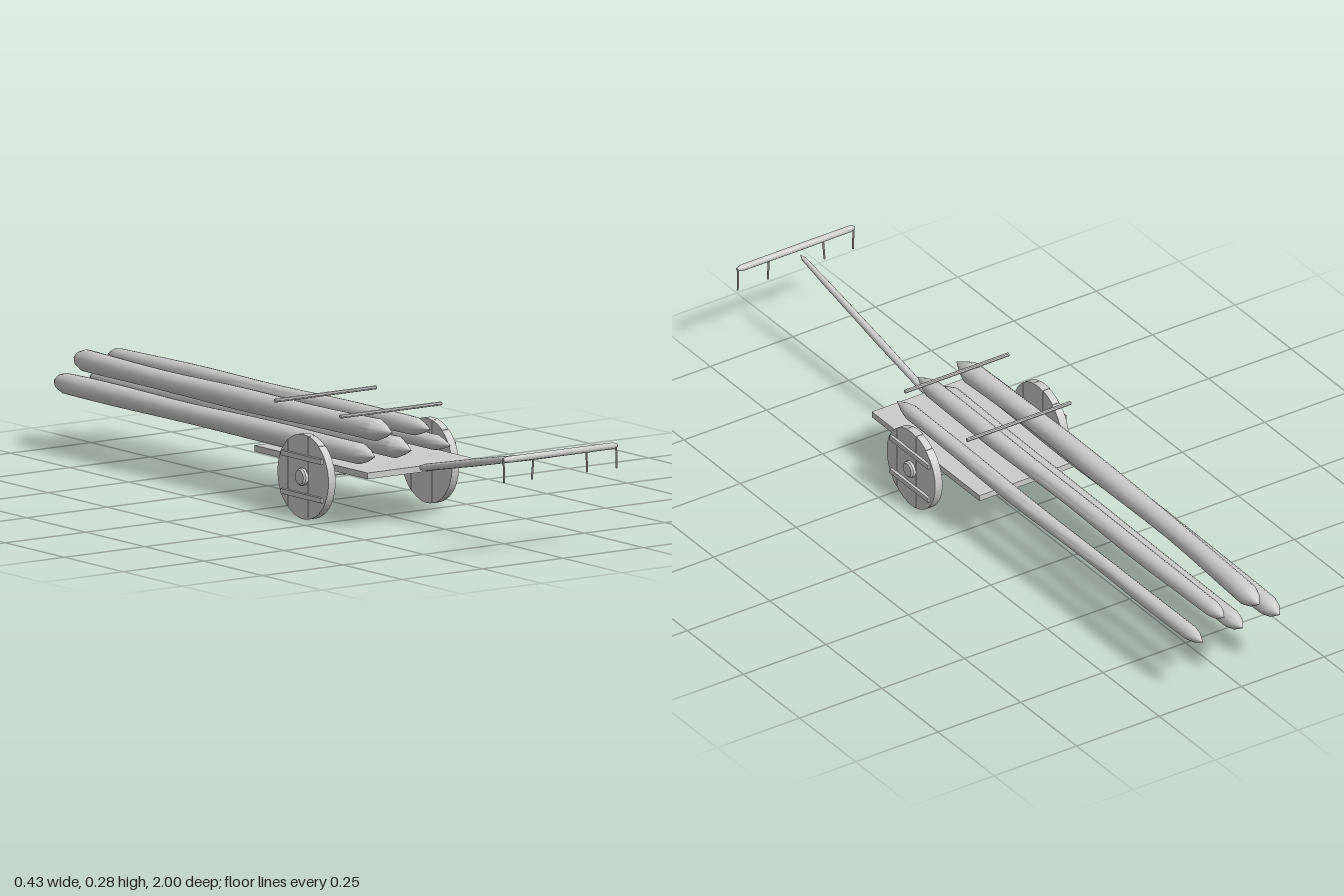
import * as THREE from 'three';
import { toCreasedNormals } from 'three/addons/utils/BufferGeometryUtils.js';

const wood = new THREE.MeshStandardMaterial({ color: 0xcccccc });

function add(parent, name, geometry, x = 0, y = 0, z = 0) {
  const mesh = new THREE.Mesh(geometry, wood);
  mesh.name = name;
  mesh.position.set(x, y, z);
  parent.add(mesh);
  return mesh;
}

// Round stick between two points, with a profile of [fraction, radius] pairs
function stick(parent, name, a, b, profile, sides = 12) {
  const from = new THREE.Vector3(...a);
  const dir = new THREE.Vector3(...b).sub(from);
  const length = dir.length();
  const points = profile.map(([t, r]) => new THREE.Vector2(r, t * length));
  const mesh = add(parent, name, toCreasedNormals(new THREE.LatheGeometry(points, sides), 0.6), ...a);
  mesh.quaternion.setFromUnitVectors(new THREE.Vector3(0, 1, 0), dir.normalize());
  return mesh;
}

const rod = (r) => [[0, 0], [0, r], [1, r], [1, 0]];
const tapered = (r) => [[0, 0], [0.002, r * 0.5], [0.04, r], [0.5, r * 1.05], [0.96, r], [0.998, r * 0.5], [1, 0]];

// Long trunk sharpened at both ends, gently bent along its length
function logGeometry(r, front, back, bend, phase) {
  const z0 = -1, z1 = 0.365, span = z1 - z0;
  const points = [new THREE.Vector2(0, z0), new THREE.Vector2(r * 0.7, z0 + 0.03)];
  for (let i = 0; i <= 14; i++) {
    const t = i / 14;
    const swell = 0.92 + 0.08 * t + 0.05 * Math.sin(t * 11 + phase);
    points.push(new THREE.Vector2(r * swell, z0 + 0.055 + t * (span - 0.12)));
  }
  points.push(new THREE.Vector2(r * 0.62, z1 - 0.035), new THREE.Vector2(0, z1));
  const geometry = new THREE.LatheGeometry(points, 14).rotateX(Math.PI / 2);
  const p = geometry.attributes.position;
  for (let i = 0; i < p.count; i++) {
    const t = (p.getZ(i) - z0) / span;
    const curve = bend * Math.sin(Math.PI * t) + 0.002 * Math.sin(t * 12 + phase) * Math.sin(Math.PI * t);
    p.setX(i, p.getX(i) + THREE.MathUtils.lerp(back[0], front[0], t) + curve);
    p.setY(i, p.getY(i) + THREE.MathUtils.lerp(back[1], front[1], t));
  }
  return toCreasedNormals(geometry, 0.55);
}

// Upright board cut from a disc between two chords
function wheelPlank(R, a, b, depth) {
  const shape = new THREE.Shape();
  const t0 = Math.acos(b / R), t1 = Math.acos(a / R), n = 8;
  for (let i = 0; i <= n; i++) {
    const t = t0 + (t1 - t0) * i / n;
    shape[i ? 'lineTo' : 'moveTo'](R * Math.cos(t), R * Math.sin(t));
  }
  for (let i = n; i >= 0; i--) {
    const t = t0 + (t1 - t0) * i / n;
    shape.lineTo(R * Math.cos(t), -R * Math.sin(t));
  }
  return new THREE.ExtrudeGeometry(shape, { depth, bevelEnabled: false }).translate(0, 0, -depth / 2).rotateY(Math.PI / 2);
}

// Plank wheel with two battens and a hub, outer face towards +x
function makeWheel() {
  const wheel = new THREE.Group(), R = 0.108;
  const cuts = [-R, -0.065, -0.022, 0.022, 0.065, R];
  for (let i = 0; i < 5; i++) {
    const a = cuts[i] + (i ? 0.0006 : 0), b = cuts[i + 1] - (i < 4 ? 0.0006 : 0);
    add(wheel, 'wheelPlank', wheelPlank(R, a, b, i % 2 ? 0.02 : 0.022));
  }
  for (const y of [-0.048, 0.05])
    add(wheel, 'wheelBatten', new THREE.BoxGeometry(0.008, 0.013, 0.17), 0.014, y, 0);
  stick(wheel, 'hub', [-0.023, 0, 0], [0.023, 0, 0],
    [[0, 0], [0, 0.018], [0.1, 0.022], [0.9, 0.022], [1, 0.018], [1, 0]], 14);
  return wheel;
}

export function createModel() {
  const model = new THREE.Group();
  model.name = 'logCart';

  // Flat bed
  add(model, 'bed', new THREE.BoxGeometry(0.336, 0.016, 0.48), 0, 0.14, 0.161);

  // Axle and wheels
  stick(model, 'axle', [-0.19, 0.11, 0.175], [0.19, 0.11, 0.175],
    [[0, 0], [0, 0.008], [0.1, 0.008], [0.5, 0.01], [0.9, 0.008], [1, 0.008], [1, 0]]);
  for (const side of [1, -1]) {
    const wheel = makeWheel();
    wheel.name = side > 0 ? 'leftWheel' : 'rightWheel';
    wheel.position.set(0.192 * side, 0.109, 0.175);
    if (side < 0) wheel.rotation.y = Math.PI;
    model.add(wheel);
  }

  // Load: radius, front end, back end, sideways bend
  const logs = [
    [0.029, [-0.118, 0.178], [-0.116, 0.172], -0.003],
    [0.029, [-0.064, 0.233], [-0.054, 0.224], -0.016],
    [0.027, [-0.005, 0.182], [-0.005, 0.172], 0.002],
    [0.024, [0.054, 0.229], [0.052, 0.222], 0.002],
    [0.021, [0.117, 0.181], [0.117, 0.173], 0.005],
  ];
  logs.forEach(([r, front, back, bend], i) => add(model, 'log', logGeometry(r, front, back, bend, i * 1.7)));

  // Thin bars across the load
  for (const z of [0.27, 0.013 - 0.02])
    stick(model, 'loadBar', [-0.157, 0.271, z], [0.157, 0.271, z], rod(0.005), 8);

  // Draw pole and pull handle
  stick(model, 'drawPole', [0, 0.141, 0.39], [0, 0.26, 0.968],
    [[0, 0], [0.003, 0.005], [0.05, 0.009], [0.4, 0.01], [0.8, 0.008], [0.97, 0.006], [1, 0]]);
  stick(model, 'handle', [-0.178, 0.268, 0.988], [0.178, 0.268, 0.988], tapered(0.0085));

  // Pegs hanging from the handle
  for (const [top, bottom] of [[-0.176, -0.171], [-0.083, -0.085], [0.082, 0.086], [0.174, 0.178]])
    stick(model, 'handlePeg', [bottom, 0.209, 0.984], [top, 0.268, 0.988], rod(0.0025), 6);

  return model;
}
